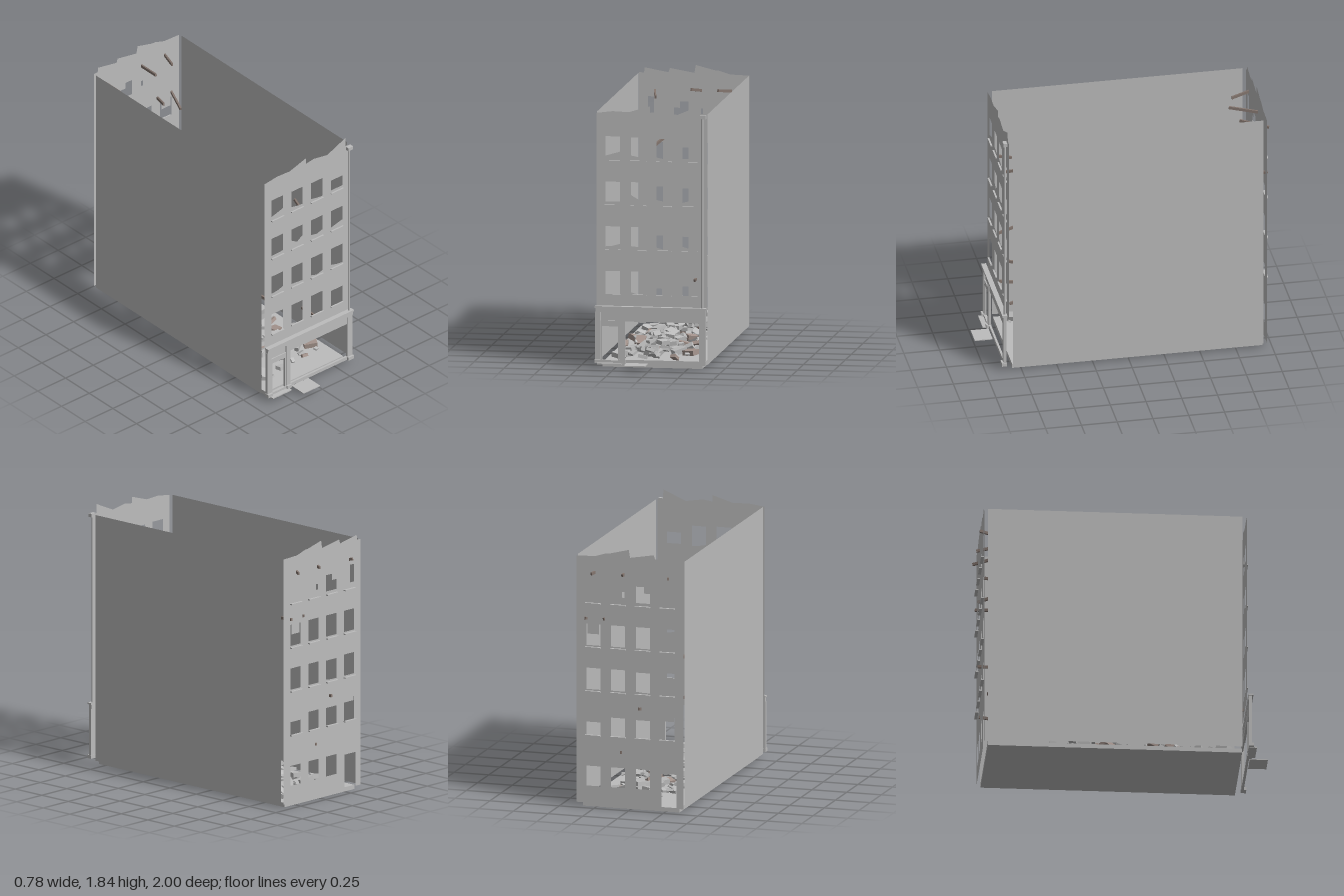
import * as THREE from 'three';

const mat = (name, color) => new THREE.MeshStandardMaterial({ name, color, side: THREE.DoubleSide });
const masonry = mat('greyMasonry', 0xbcbcbc);
const brick = mat('brownBrick', 0xa3938c);
const timber = mat('charredTimber', 0x83756e);

const COLS = [-0.27, -0.092, 0.086, 0.265];  // window centres
const SILLS = [0.51, 0.82, 1.13, 1.44];      // bottom of each upper storey's windows
const HW = 0.051;                            // half window width

// Window with a broken lower edge: bottom heights left, middle, right, then top
const win = (c, l, m, r, t) => [
  [COLS[c] - HW, l], [COLS[c], m], [COLS[c] + HW, r], [COLS[c] + HW, t], [COLS[c] - HW, t],
];

function facade(name, outline, holes, z) {
  const shape = new THREE.Shape(outline.map(p => new THREE.Vector2(...p)));
  for (const h of holes) shape.holes.push(new THREE.Path(h.map(p => new THREE.Vector2(...p))));
  const mesh = new THREE.Mesh(new THREE.ShapeGeometry(shape), masonry);
  mesh.name = name;
  mesh.position.z = z;
  return mesh;
}

function box(name, x0, x1, y0, y1, z0, z1, m = masonry) {
  const mesh = new THREE.Mesh(new THREE.BoxGeometry(x1 - x0, y1 - y0, z1 - z0), m);
  mesh.name = name;
  mesh.position.set((x0 + x1) / 2, (y0 + y1) / 2, (z0 + z1) / 2);
  return mesh;
}

// Timber running between two points
function beam(a, b, size = 0.016) {
  const A = new THREE.Vector3(...a), B = new THREE.Vector3(...b);
  const mesh = new THREE.Mesh(new THREE.BoxGeometry(size * 0.8, size * 1.2, A.distanceTo(B)), timber);
  mesh.name = 'brokenJoist';
  mesh.position.copy(A).add(B).multiplyScalar(0.5);
  mesh.lookAt(B);
  return mesh;
}

function seeded(seed) {
  return () => {
    seed = (seed * 16807) % 2147483647;
    return seed / 2147483647;
  };
}

export function createModel() {
  const g = new THREE.Group();
  g.name = 'ruinedTownhouse';

  // Floor slab and the two party walls
  g.add(box('floorSlab', -0.348, 0.348, 0, 0.03, -0.94, 0.81));
  for (const s of [-1, 1]) {
    const wall = new THREE.Mesh(new THREE.PlaneGeometry(1.75, 1.74), masonry);
    wall.name = s < 0 ? 'rightWall' : 'leftWall';
    wall.rotation.y = s * Math.PI / 2;
    wall.position.set(s * 0.385, 0.9, -0.065);
    g.add(wall);
  }

  // Front facade above the shop, with crumbling top
  g.add(facade('frontFacade', [
    [-0.385, 0.39], [0.385, 0.39], [0.385, 1.765], [0.345, 1.77], [0.343, 1.835], [0.18, 1.765],
    [0.06, 1.785], [-0.01, 1.775], [-0.012, 1.82], [-0.16, 1.775], [-0.27, 1.78], [-0.385, 1.765],
  ], [
    win(0, 0.51, 0.51, 0.51, 0.67), win(1, 0.525, 0.51, 0.51, 0.67),
    win(2, 0.51, 0.51, 0.51, 0.67), win(3, 0.51, 0.51, 0.51, 0.635),
    win(0, 0.84, 0.845, 0.86, 0.98), win(1, 0.845, 0.84, 0.835, 0.98),
    win(2, 0.84, 0.825, 0.84, 0.98), win(3, 0.85, 0.835, 0.83, 0.98),
    win(0, 1.15, 1.152, 1.155, 1.29), win(1, 1.2, 1.17, 1.205, 1.29),
    win(2, 1.17, 1.16, 1.175, 1.29), win(3, 1.155, 1.168, 1.18, 1.29),
    win(0, 1.47, 1.485, 1.5, 1.605), win(1, 1.475, 1.465, 1.46, 1.6),
    win(2, 1.465, 1.455, 1.45, 1.595), win(3, 1.46, 1.46, 1.46, 1.54),
  ], 0.84));

  // Back facade with doorway, small ground-floor windows and part-blocked openings
  const L = COLS.map(c => c - HW), R = COLS.map(c => c + HW);
  g.add(facade('backFacade', [
    [-0.385, 0.03], [-0.335, 0.03], [-0.335, 0.27], [-0.225, 0.27], [-0.225, 0.03], [0.385, 0.03],
    [0.385, 1.765], [0.25, 1.77], [0.17, 1.795], [0.14, 1.797], [0.01, 1.83], [0, 1.775],
    [-0.17, 1.805], [-0.18, 1.775], [-0.345, 1.805], [-0.35, 1.77], [-0.385, 1.77],
  ], [
    ...[1, 2, 3].map(c => win(c, 0.15, 0.15, 0.15, 0.29)),
    [[L[0], 0.51], [R[0], 0.51], [R[0], 0.64], [L[0] + 0.006, 0.64], [L[0] + 0.006, 0.67], [L[0], 0.67]],
    win(1, 0.51, 0.51, 0.51, 0.635), win(2, 0.51, 0.51, 0.51, 0.64), win(3, 0.51, 0.51, 0.51, 0.6),
    win(0, 0.83, 0.83, 0.83, 0.98), win(1, 0.83, 0.83, 0.835, 0.97),
    win(2, 0.83, 0.83, 0.83, 0.98), win(3, 0.83, 0.83, 0.83, 0.98),
    win(0, 1.14, 1.14, 1.14, 1.29), win(1, 1.14, 1.14, 1.14, 1.29), win(2, 1.14, 1.14, 1.14, 1.29),
    [[L[3], 1.14], [R[3], 1.14], [R[3], 1.29], [R[3] - 0.01, 1.29], [R[3] - 0.01, 1.22],
      [L[3] + 0.01, 1.22], [L[3] + 0.01, 1.29], [L[3], 1.29]],
    [[L[0], 1.48], [-0.28, 1.48], [-0.28, 1.605], [L[0], 1.605]],
    [[L[1], 1.46], [R[1], 1.46], [R[1], 1.575], [-0.1, 1.575], [-0.1, 1.53], [L[1], 1.53]],
    [[0.04, 1.49], [0.06, 1.49], [0.06, 1.53], [0.04, 1.53]],
  ], -0.965));

  // Window sills on both facades
  for (const y of SILLS) for (const x of COLS) {
    g.add(box('frontSill', x - 0.055, x + 0.055, y - 0.008, y, 0.84, 0.852));
    g.add(box('backSill', x - 0.055, x + 0.055, y - 0.008, y, -0.985, -0.965));
  }

  // Shop front: cornice, fascia, pillars, door surround
  g.add(
    box('corniceTop', -0.39, 0.385, 0.418, 0.43, 0.85, 0.885),
    box('corniceBand', -0.385, 0.38, 0.388, 0.418, 0.852, 0.876),
    box('shopFascia', -0.18, 0.34, 0.325, 0.388, 0.855, 0.866),
    box('doorTransom', -0.35, -0.21, 0.325, 0.388, 0.855, 0.862),
    box('doorHead', -0.35, -0.21, 0.29, 0.328, 0.855, 0.87),
    box('doorJamb', -0.352, -0.34, 0.05, 0.29, 0.855, 0.87),
    box('doorJamb', -0.228, -0.215, 0.05, 0.29, 0.855, 0.87),
    box('shopSillRail', -0.18, 0.34, 0.035, 0.06, 0.855, 0.87),
    box('doorThreshold', -0.36, -0.21, 0.035, 0.055, 0.855, 0.875),
    box('doorstep', -0.37, -0.2, 0.03, 0.038, 0.86, 0.91),
    box('fallenPanel', -0.17, -0.02, 0.033, 0.039, 0.875, 1.0),
  );
  for (const [x0, x1] of [[-0.388, -0.352], [-0.215, -0.18], [0.335, 0.38]]) {
    g.add(box('shopPillar', x0, x1, 0.035, 0.39, 0.855, 0.875));
    g.add(box('pillarFoot', x0 - 0.003, x1 + 0.003, 0.035, 0.06, 0.853, 0.888));
  }

  // Drainpipe and its collecting box
  const pipe = new THREE.Mesh(new THREE.CylinderGeometry(0.008, 0.008, 1.33, 8), masonry);
  pipe.name = 'drainpipe';
  pipe.position.set(0.357, 1.09, 0.863);
  g.add(pipe, box('drainBox', 0.34, 0.382, 1.745, 1.77, 0.85, 0.877));

  // Broken floor joists: outer x, z, y, then inner x, z and rise
  const joists = [
    [-0.32, -0.94, 0.4, -0.23, -0.78, 0.03], [-0.2, -0.95, 1.33, -0.25, -0.79, -0.04],
    [-0.07, -0.99, 0.72, -0.11, -0.82, -0.02], [0.05, -0.99, 1.65, 0.01, -0.77, 0.04],
    [0.065, -0.97, 0.4, 0.03, -0.79, -0.04], [0.19, -0.97, 1.33, 0.14, -0.84, 0.03],
    [0.27, -1.0, 1.65, 0.19, -0.81, 0.03], [0.32, -0.98, 1.33, 0.25, -0.79, -0.03],
    [-0.27, 0.79, 0.72, -0.31, 0.63, 0.03], [-0.185, 0.83, 0.4, -0.2, 0.65, -0.04],
    [-0.005, 0.83, 1.34, 0.04, 0.66, 0.03], [0.16, 0.79, 0.4, 0.13, 0.63, 0.03],
    [0.12, 0.83, 0.72, 0.17, 0.63, -0.03], [-0.24, 0.8, 1.34, -0.235, 0.7, -0.02],
    [-0.28, -0.99, 1.65, -0.25, -0.84, -0.03],
  ];
  for (const [x, z, y, xi, zi, rise] of joists) g.add(beam([x, y, z], [xi, y + rise, zi]));

  // Rubble heaped along the middle of the floor
  const rnd = seeded(4711);
  const rubble = new THREE.Group();
  rubble.name = 'rubble';
  for (let i = 0; i < 180; i++) {
    const x = i % 3 === 0 ? (rnd() - 0.5) * 0.64 : (rnd() + rnd() - 1) * 0.31;
    const z = -0.88 + rnd() * 1.6;
    const s = 0.35 + rnd() * 0.75;
    const heap = 0.11 * Math.max(0, 1 - Math.abs(x) / 0.36);
    const chunk = new THREE.Mesh(
      new THREE.BoxGeometry(0.085 * s, 0.032 * s, 0.062 * s), i % 9 === 0 ? brick : masonry);
    chunk.name = 'rubbleChunk';
    chunk.position.set(x, 0.05 + rnd() * heap, z);
    chunk.rotation.set((rnd() - 0.5) * 0.9, rnd() * Math.PI, (rnd() - 0.5) * 0.9);
    rubble.add(chunk);
  }
  g.add(rubble);
  return g;
}
